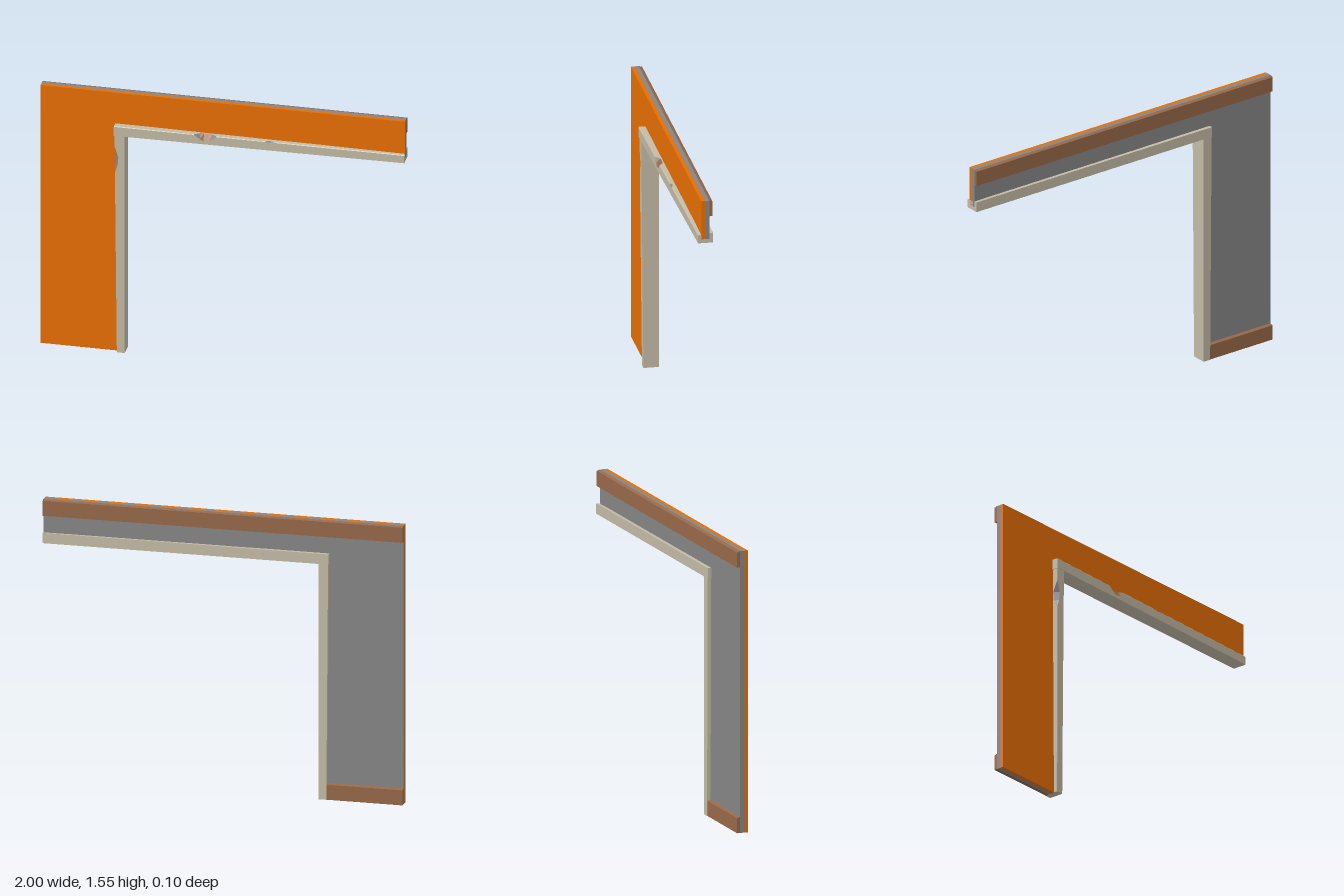
import * as THREE from 'three';

const mat = (name, color) => {
  const m = new THREE.MeshStandardMaterial({ color });
  m.name = name;
  return m;
};

export function createModel() {
  const orange = mat('orange paint', 0xe66e02);
  const grey = mat('grey plaster', 0x858585);
  const brown = mat('brown wood', 0x966848);
  const beige = mat('beige frame', 0xc3baa5);
  const group = new THREE.Group();

  const add = (name, geometry, material) => {
    const mesh = new THREE.Mesh(geometry, material);
    mesh.name = name;
    group.add(mesh);
  };

  // L-shaped wall: painted front layer over a plaster back layer
  const wall = new THREE.Shape([
    [-1, 0], [-0.56, 0], [-0.56, 1.335], [1, 1.335], [1, 1.555], [-1, 1.555],
  ].map(([x, y]) => new THREE.Vector2(x, y)));
  const layer = (name, material, z0, z1) => {
    const g = new THREE.ExtrudeGeometry(wall, { depth: z1 - z0, bevelEnabled: false });
    add(name, g.translate(0, 0, z0), material);
  };
  layer('wallFront', orange, -0.006, 0.014);
  layer('wallBack', grey, -0.03, -0.006);

  // Wooden boards on the back, with a slightly bevelled top edge
  const board = (name, x0, x1, y0) => {
    const s = new THREE.Shape([
      [0.03, 0], [0.048, 0], [0.048, 0.084], [0.03, 0.09],
    ].map(([z, y]) => new THREE.Vector2(z, y)));
    const g = new THREE.ExtrudeGeometry(s, { depth: x1 - x0, bevelEnabled: false });
    add(name, g.rotateY(Math.PI / 2).translate(x0, y0, 0), brown);
  };
  board('topBoard', -1, 1, 1.465);
  board('baseBoard', -1, -0.57, 0);

  // Frame bar lofted along t. Each cut is [t, width, depth, material] of the
  // chamfer on its outer front edge: 0 beige, 1 grey, 2 brown up to the next cut
  const bar = (name, cuts, section, toPoint) => {
    const faces = [[], [], []];
    const rings = cuts.map(([t, w, d]) => {
      const { inner, outer, outerBack, front, back } = section(t);
      const side = Math.sign(outer - inner);
      return [
        [inner, back], [inner, front], [outer - side * w, front], [outer, front - d], [outerBack, back],
      ].map(([a, z]) => toPoint(t, a, z));
    });
    const tri = (m, ...points) => faces[m].push(...points.flat());
    for (let k = 0; k < rings.length - 1; k++) {
      const [p, q] = [rings[k], rings[k + 1]];
      for (let i = 0; i < 5; i++) {
        const j = (i + 1) % 5;
        const m = i === 2 ? cuts[k][3] : 0;
        tri(m, p[i], q[j], p[j]);
        tri(m, p[i], q[i], q[j]);
      }
    }
    const end = rings[rings.length - 1];
    for (let i = 1; i < 4; i++) {
      tri(0, rings[0][0], rings[0][i], rings[0][i + 1]);
      tri(0, end[0], end[i + 1], end[i]);
    }
    const g = new THREE.BufferGeometry();
    g.setAttribute('position', new THREE.Float32BufferAttribute(faces.flat(), 3));
    let start = 0;
    faces.forEach((f, m) => {
      g.addGroup(start, f.length / 3, m);
      start += f.length / 3;
    });
    g.computeVertexNormals();
    add(name, g, [beige, grey, brown]);
  };

  // Door post, thinner towards the floor, chipped near its top
  bar('doorPost', [
    [0, 0.002, 0.002, 0], [1.09, 0.002, 0.002, 1], [1.13, 0.015, 0.026, 1],
    [1.18, 0.02, 0.03, 1], [1.24, 0.002, 0.002, 0], [1.316, 0.002, 0.002, 0],
  ], (y) => {
    const f = y / 1.316;
    const left = -0.577 - 0.01 * f;
    return { inner: -0.533, outer: left, outerBack: left, front: 0.035 + 0.012 * f, back: -0.05 };
  }, (y, x, z) => [x, y, z]);

  // Lintel, tapering to its far end, with a deep chip and a small one
  bar('lintel', [
    [-0.59, 0.003, 0.003, 0], [-0.15, 0.003, 0.003, 1], [-0.12, 0.025, 0.022, 2],
    [-0.1, 0.036, 0.025, 2], [-0.075, 0.036, 0.025, 2], [-0.055, 0.025, 0.022, 1],
    [-0.03, 0.003, 0.003, 0], [0.24, 0.003, 0.003, 1], [0.26, 0.006, 0.014, 1],
    [0.29, 0.003, 0.003, 0], [1, 0.003, 0.003, 0],
  ], (x) => {
    const f = (x + 0.59) / 1.59;
    return { inner: 1.313, outer: 1.37 - 0.01 * f, outerBack: 1.37, front: 0.051 - 0.02 * f, back: -0.051 };
  }, (x, y, z) => [x, y, z]);

  return group;
}
